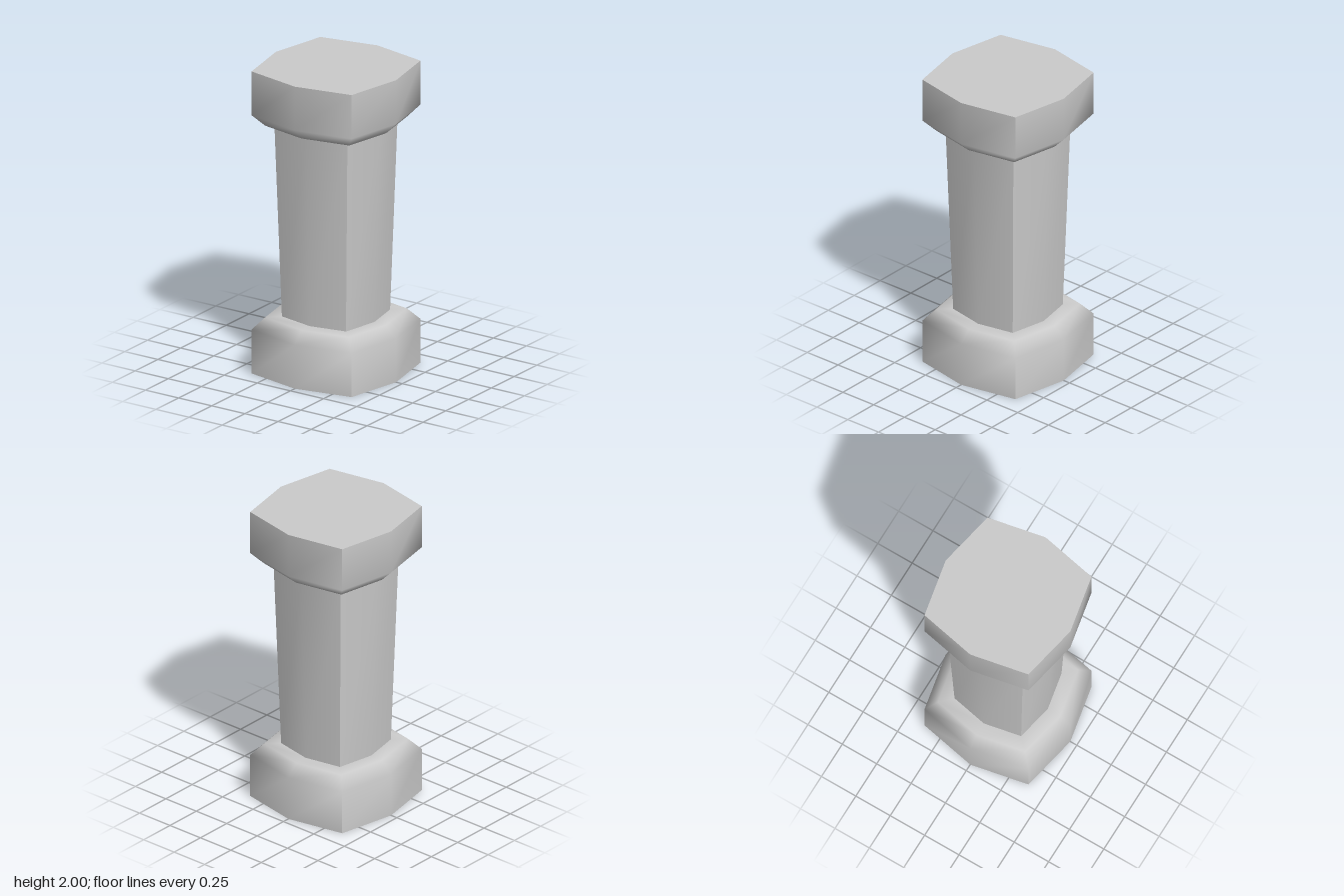
import * as THREE from 'three';
import { toCreasedNormals } from 'three/addons/utils/BufferGeometryUtils.js';

const SIDES = 8;
const CORNER = 1.18; // corners reach further out than the mid-side points
const CREASE = THREE.MathUtils.degToRad(40);

// Stack of bulged-square rings, rows of [height, mid-side radius] from bottom to top.
function ringStack(rows) {
  const positions = [];
  const index = [];
  for (const [y, r] of rows) {
    for (let i = 0; i < SIDES; i++) {
      const a = (i * Math.PI * 2) / SIDES;
      const radius = i % 2 ? r * CORNER : r;
      positions.push(radius * Math.sin(a), y, radius * Math.cos(a));
    }
  }
  for (let k = 0; k < rows.length - 1; k++) {
    for (let i = 0; i < SIDES; i++) {
      const j = (i + 1) % SIDES;
      const a = k * SIDES + i, b = k * SIDES + j;
      const c = a + SIDES, d = b + SIDES;
      if (rows[k][1] > 0) index.push(a, b, d);
      if (rows[k + 1][1] > 0) index.push(a, d, c);
    }
  }
  const geometry = new THREE.BufferGeometry();
  geometry.setAttribute('position', new THREE.Float32BufferAttribute(positions, 3));
  geometry.setIndex(index);
  geometry.computeVertexNormals();
  return geometry;
}

// Bevelled block: crisp at its flat outer end, soft around the bevel.
function blockGeometry(neckRadius) {
  const stack = ringStack([[0, 0], [0, 0.453], [0.29, 0.453], [0.365, 0.38], [0.365, neckRadius]]);
  const soft = stack.toNonIndexed();
  const block = toCreasedNormals(stack, CREASE);
  const p = block.attributes.position;
  const from = soft.attributes.normal;
  for (let i = 0; i < p.count; i++) {
    if (p.getY(i) > 0.01) block.attributes.normal.setXYZ(i, from.getX(i), from.getY(i), from.getZ(i));
  }
  return block;
}

export function createModel() {
  const group = new THREE.Group();
  group.name = 'pillar';
  const material = new THREE.MeshStandardMaterial({ color: 0xcccccc });
  const add = (name, geometry) => {
    const mesh = new THREE.Mesh(geometry, material);
    mesh.name = name;
    group.add(mesh);
    return mesh;
  };

  add('base', blockGeometry(0.29));

  // Shaft widening slightly upward
  add('shaft', toCreasedNormals(ringStack([[0.365, 0.29], [1.635, 0.33]]), CREASE));

  // Capital: the same block turned upside down
  const capital = add('capital', blockGeometry(0.33));
  capital.rotation.x = Math.PI;
  capital.position.y = 2;

  return group;
}
